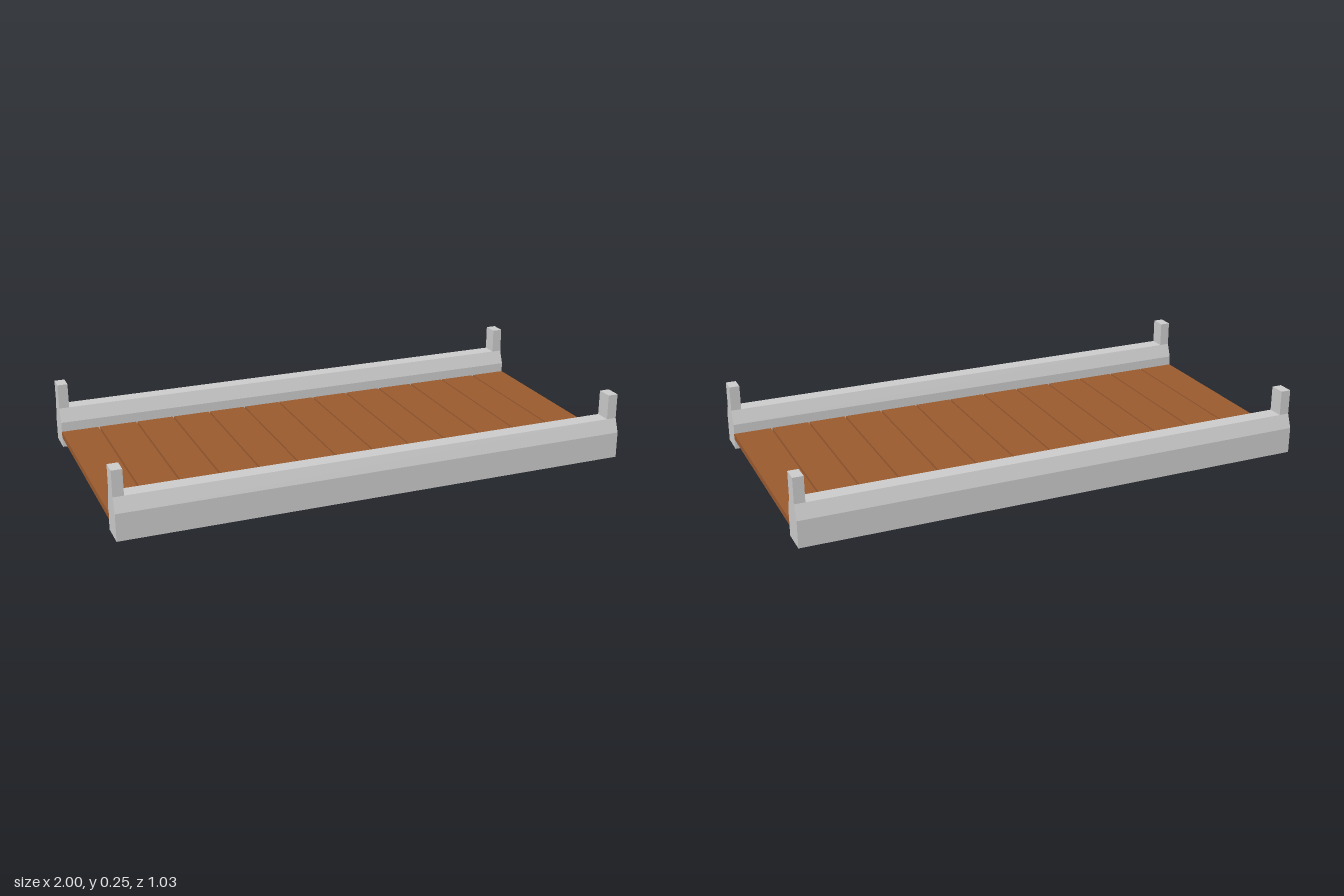
import * as THREE from 'three';

const LENGTH = 2, RAIL_Z = 0.462, RAIL_TOP = 0.157;

export function createModel() {
  const model = new THREE.Group();
  model.name = 'plankBridge';
  const stone = new THREE.MeshStandardMaterial({ color: 0xcccccc, flatShading: true });
  const wood = new THREE.MeshStandardMaterial({ color: 0x9a5a2f, flatShading: true });

  const add = (name, geometry, material, x, y, z) => {
    const mesh = new THREE.Mesh(geometry, material);
    mesh.name = name;
    mesh.position.set(x, y, z);
    model.add(mesh);
    return mesh;
  };

  // Rail cross-section: upright base, sloped shoulders, narrow flat top
  const profile = new THREE.Shape([
    [-0.052, 0], [0.052, 0], [0.052, 0.103], [0.031, RAIL_TOP], [-0.031, RAIL_TOP], [-0.052, 0.103],
  ].map(([x, y]) => new THREE.Vector2(x, y)));
  const railGeometry = new THREE.ExtrudeGeometry(profile, { depth: LENGTH, bevelEnabled: false })
    .translate(0, 0, -LENGTH / 2).rotateY(Math.PI / 2);

  // Rails on both sides, each with a post at either end
  const postWidth = 0.04, postHeight = 0.098;
  const postGeometry = new THREE.BoxGeometry(postWidth, postHeight, 0.062);
  for (const [side, sz] of [['front', 1], ['back', -1]]) {
    add(side + 'Rail', railGeometry, stone, 0, 0, sz * RAIL_Z);
    for (const [end, sx] of [['Left', 1], ['Right', -1]]) {
      add(side + end + 'Post', postGeometry, stone,
        sx * (LENGTH - postWidth) / 2, RAIL_TOP + postHeight / 2, sz * RAIL_Z);
    }
  }

  // Deck of planks separated by narrow gaps
  const count = 13, gap = 0.007;
  const plankWidth = (LENGTH - gap * (count - 1)) / count;
  const plankGeometry = new THREE.BoxGeometry(plankWidth, 0.025, 0.83);
  for (let i = 0; i < count; i++) {
    add('plank' + (i + 1), plankGeometry, wood,
      -LENGTH / 2 + plankWidth / 2 + i * (plankWidth + gap), 0.0525, 0);
  }
  return model;
}
